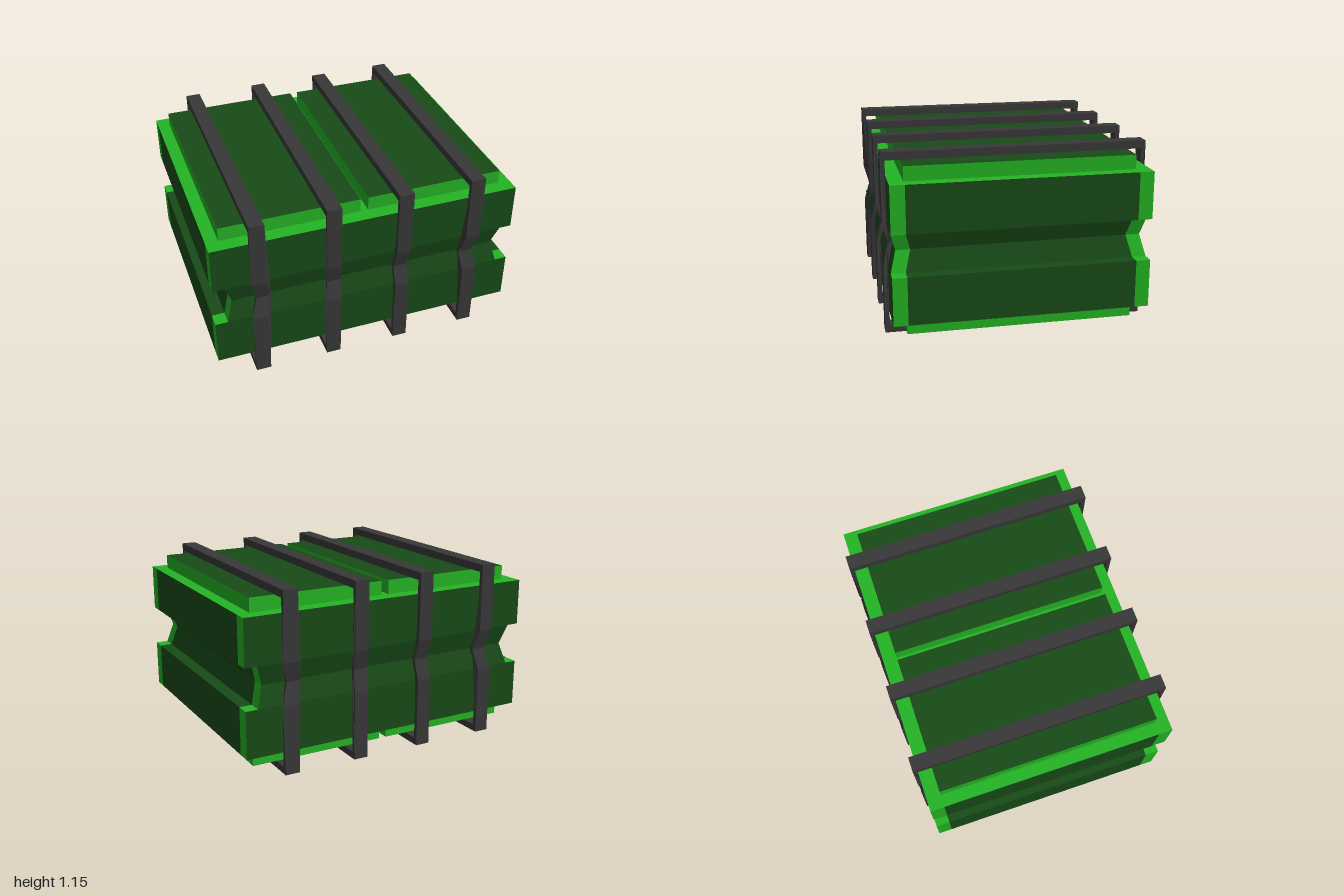
import * as THREE from 'three';

const material = (color) => new THREE.MeshStandardMaterial({ color, flatShading: true });
const bright = material(0x24b424);
const dark = material(0x184a18);
const steel = material(0x383838);

const MID = 0.58; // height of the pinched waist
const PINCH = 0.957;

// Mesh made of quads, each given as four corners counter-clockwise from outside
function quadMesh(name, quads, mat) {
  const pos = [];
  for (const [a, b, c, d] of quads) pos.push(...a, ...b, ...c, ...a, ...c, ...d);
  const geo = new THREE.BufferGeometry();
  geo.setAttribute('position', new THREE.Float32BufferAttribute(pos, 3));
  geo.computeVertexNormals();
  const mesh = new THREE.Mesh(geo, mat);
  mesh.name = name;
  return mesh;
}

// Crate body: rectangular levels [y, half width, half depth] with a grooved waist
function createBody() {
  const levels = [
    [0.14, 1, 0.8], [0.445, 1, 0.8], [0.445, 0.92, 0.8],
    [MID, 0.92 * PINCH, 0.8 * PINCH],
    [0.71, 0.92, 0.8], [0.71, 1, 0.8], [1.01, 1, 0.8],
  ];
  const panels = [], edges = [];
  // Outline of a level, with the board thickness marked on both ends
  const outline = ([y, x, z]) => {
    const i = z - 0.09;
    return [[-x, z], [x, z], [x, i], [x, -i], [x, -z], [-x, -z], [-x, -i], [-x, i]]
      .map(([px, pz]) => [px, y, pz]);
  };
  const darkSides = [0, 2, 4, 6];
  for (let l = 0; l < levels.length - 1; l++) {
    const lo = outline(levels[l]), hi = outline(levels[l + 1]);
    const flat = levels[l][0] === levels[l + 1][0];
    for (let i = 0; i < 8; i++) {
      if (flat && (i === 0 || i === 4)) continue; // no ledge on front and back
      const j = (i + 1) % 8;
      (darkSides.includes(i) ? panels : edges).push([lo[i], lo[j], hi[j], hi[i]]);
    }
  }
  // Top and bottom
  edges.push([[-1, 1.01, 0.8], [1, 1.01, 0.8], [1, 1.01, -0.8], [-1, 1.01, -0.8]]);
  edges.push([[-1, 0.14, -0.8], [1, 0.14, -0.8], [1, 0.14, 0.8], [-1, 0.14, 0.8]]);
  const body = new THREE.Group();
  body.name = 'crateBody';
  body.add(quadMesh('wallPanels', panels, dark), quadMesh('wallEdges', edges, bright));
  return body;
}

// Closed loop path, pinched at the waist
function loopPoints(z, y0, y1) {
  const side = [[z, y0], [z, 0.445], [z * PINCH, MID], [z, 0.71], [z, y1]];
  const mirrored = side.map(([a, b]) => [-a, b]).reverse();
  return [...side, ...mirrored].map(([a, b]) => new THREE.Vector2(a, b));
}

// Strap: rectangular ring around the crate, drawn inward at the waist
function createStrap(x) {
  const width = 0.095;
  const shape = new THREE.Shape(loopPoints(0.828, 0, 1.15));
  shape.holes.push(new THREE.Path(loopPoints(0.8, 0.045, 1.1)));
  const geo = new THREE.ExtrudeGeometry(shape, { depth: width, bevelEnabled: false });
  geo.rotateY(Math.PI / 2).translate(x - width / 2, 0, 0);
  const p = geo.attributes.position;
  for (let i = 0; i < p.count; i++) {
    if (Math.abs(p.getY(i) - MID) < 0.01) p.setX(i, p.getX(i) * PINCH);
  }
  geo.computeVertexNormals();
  const strap = new THREE.Mesh(geo, steel);
  strap.name = 'strap';
  return strap;
}

export function createModel() {
  const model = new THREE.Group();
  model.name = 'strappedCrate';
  model.add(createBody());

  // Paired lid and base boards: dark face, bright edges
  for (const side of [-1, 1]) {
    for (const [name, y, face] of [['lidBoard', 1.055, 2], ['baseBoard', 0.095, 3]]) {
      const mats = Array(6).fill(bright);
      mats[face] = dark;
      const board = new THREE.Mesh(new THREE.BoxGeometry(0.896, 0.09, 1.42), mats);
      board.position.set(side * 0.473, y, 0);
      board.name = name;
      model.add(board);
    }
  }

  for (const x of [-0.715, -0.235, 0.232, 0.712]) model.add(createStrap(x));
  return model;
}
